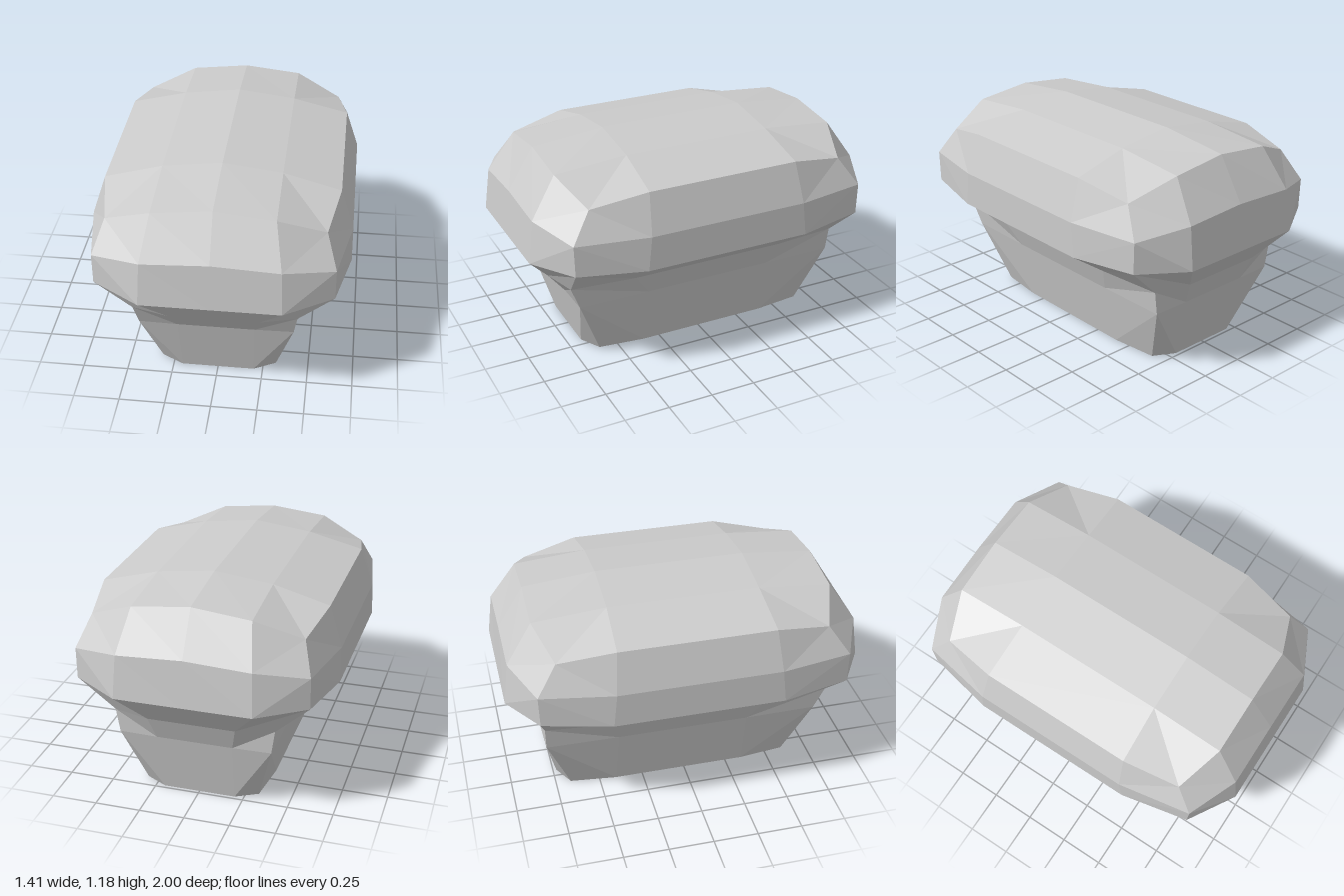
import * as THREE from 'three';

// Each ring is given by three quadrant points [x, y, z] plus a centre-front height:
// side (start of the long side), corner, and end (start of the short side).
const rings = [
  { side: [0.35, 0, 0.375], corner: [0.32, 0, 0.635], end: [0.2, 0, 0.7], mid: 0, dz: -0.03 },
  { side: [0.425, 0.35, 0.37], corner: [0.42, 0.35, 0.775], end: [0.21, 0.35, 0.78], mid: 0.35, dz: -0.025 },
  { side: [0.475, 0.485, 0.44], corner: [0.44, 0.485, 0.805], end: [0.24, 0.485, 0.86], mid: 0.485, dz: 0 },
  { side: [0.705, 0.65, 0.47], corner: [0.63, 0.667, 0.845], end: [0.37, 0.655, 1.0], mid: 0.655, dz: 0 },
  { side: [0.702, 0.84, 0.45], corner: [0.63, 0.84, 0.85], end: [0.36, 0.89, 0.97], mid: 0.908, dz: 0 },
  { side: [0.63, 1.06, 0.43], corner: [0.573, 1.0, 0.74], end: [0.32, 1.105, 0.825], mid: 1.14, dz: 0 },
];

// Mirror the quadrant points into a closed loop of 14 points
function ringPoints({ side, corner, end, mid, dz }) {
  const quarter = [side, corner, end];
  const flip = ([x, y, z]) => [-x, y, z];
  const half = [...quarter, [0, mid, end[2]], ...quarter.slice().reverse().map(flip)];
  const back = half.map(([x, y, z]) => [-x, y, -z]);
  return [...half, ...back].map(([x, y, z]) => new THREE.Vector3(x, y, z + dz));
}

// Join neighbouring rings; diagonals always start at the upper corner points
function bridge(tris, low, up) {
  const n = low.length;
  for (let i = 0; i < n; i++) {
    const j = (i + 1) % n;
    if (i % 7 === 1 || i % 7 === 5) tris.push(low[i], up[i], low[j], up[i], up[j], low[j]);
    else tris.push(low[i], up[i], up[j], low[i], up[j], low[j]);
  }
}

function makeMesh(name, tris, material) {
  const geometry = new THREE.BufferGeometry().setFromPoints(tris);
  geometry.computeVertexNormals();
  const mesh = new THREE.Mesh(geometry, material);
  mesh.name = name;
  return mesh;
}

export function createModel() {
  const group = new THREE.Group();
  group.name = 'loaf';
  const material = new THREE.MeshStandardMaterial({ color: 0xcccccc, flatShading: true });
  const loops = rings.map(ringPoints);

  // Tapered base with a flat underside
  const base = [];
  for (let k = 0; k < 3; k++) bridge(base, loops[k], loops[k + 1]);
  const centre = new THREE.Vector3(0, 0, rings[0].dz);
  loops[0].forEach((p, i, ring) => base.push(centre, p, ring[(i + 1) % ring.length]));
  group.add(makeMesh('base', base, material));

  // Overhanging crown with a gently arched top
  const crown = [];
  for (let k = 3; k < 5; k++) bridge(crown, loops[k], loops[k + 1]);
  const rim = loops[5];
  const quad = (a, b, c, d) => crown.push(a, b, c, a, c, d);
  const ridge = [1, -1].map((s) =>
    [0.32, 0, -0.32].map((x) => new THREE.Vector3(s * x, x ? 1.14 : 1.18, s * 0.42)));
  ridge.forEach(([a, m, b], k) => {
    const [s0, c0, e0, mid, e1, c1, s1] = rim.slice(k * 7, k * 7 + 7);
    quad(c0, s0, a, e0);
    quad(e0, a, m, mid);
    quad(mid, m, b, e1);
    quad(c1, e1, b, s1);
  });
  const front = [rim[0], ...ridge[0], rim[6]];
  const rear = [rim[13], ...ridge[1].slice().reverse(), rim[7]];
  for (let i = 0; i < 4; i++) quad(front[i], rear[i], rear[i + 1], front[i + 1]);
  group.add(makeMesh('crown', crown, material));

  return group;
}
